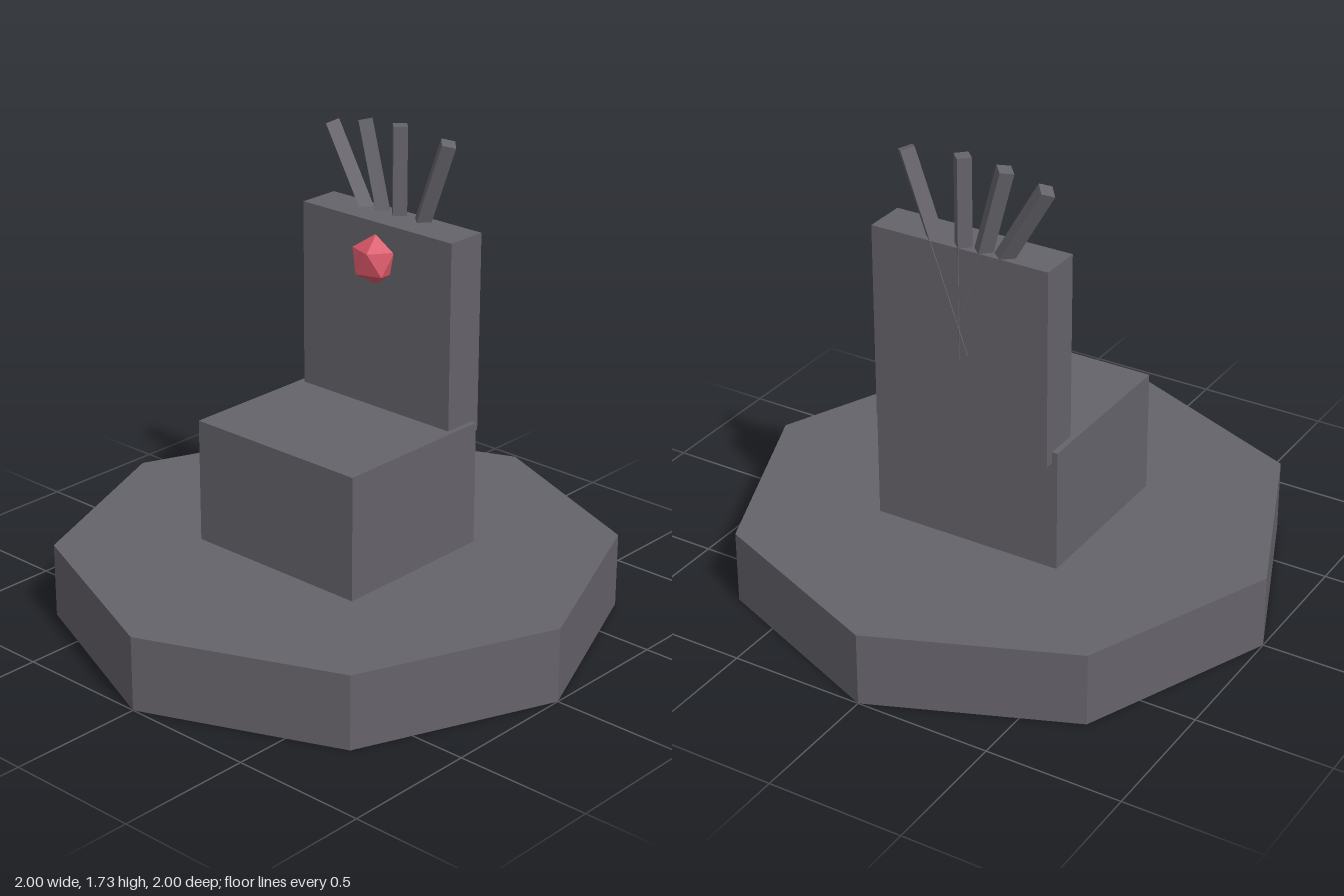
import * as THREE from 'three';
import { ConvexGeometry } from 'three/addons/geometries/ConvexGeometry.js';

const stone = new THREE.MeshStandardMaterial({ color: 0x65636a });
stone.name = 'grey stone';
const red = new THREE.MeshStandardMaterial({ color: 0xd85666 });
red.name = 'red gem';

export function createModel() {
  const model = new THREE.Group();
  model.name = 'throne';

  function add(name, geometry, material, x, y, z) {
    const mesh = new THREE.Mesh(geometry, material);
    mesh.name = name;
    mesh.position.set(x, y, z);
    model.add(mesh);
    return mesh;
  }

  // Faceted prism with corners on the x and z axes
  function prism(radius, height, sides) {
    const g = new THREE.CylinderGeometry(radius, radius, height, sides).toNonIndexed();
    g.computeVertexNormals();
    return g;
  }

  // Octagonal plinth, seat block and backrest slab
  add('plinth', prism(1, 0.273, 8), stone, 0, 0.1365, 0);
  add('seat', new THREE.BoxGeometry(0.722, 0.455, 0.637), stone, 0, 0.5005, 0);
  add('backrest', new THREE.BoxGeometry(0.68, 0.725, 0.157), stone, 0, 1.0475, -0.2735);

  // Fan of square spikes, their rear edges just breaking the back face
  const spikes = [[-0.132, 30], [-0.066, 15], [0, 0], [0.092, -20]];
  for (const [x, tilt] of spikes) {
    const spike = add('crestSpike', prism(0.035, 0.728, 4), stone, x, 1.364, -0.3185);
    spike.rotation.z = THREE.MathUtils.degToRad(tilt);
  }

  // Twenty-sided gem standing on a point: two poles and two rings of five
  const r = 0.0925;
  const points = [new THREE.Vector3(0, r, 0), new THREE.Vector3(0, -r, 0)];
  for (let i = 0; i < 10; i++) {
    const a = (i * Math.PI) / 5;
    const y = (i % 2 ? -1 : 1) * 0.4472 * r;
    points.push(new THREE.Vector3(Math.cos(a) * 0.8944 * r, y, Math.sin(a) * 0.8944 * r));
  }
  add('gem', new ConvexGeometry(points), red, 0, 1.275, -0.199);

  return model;
}
